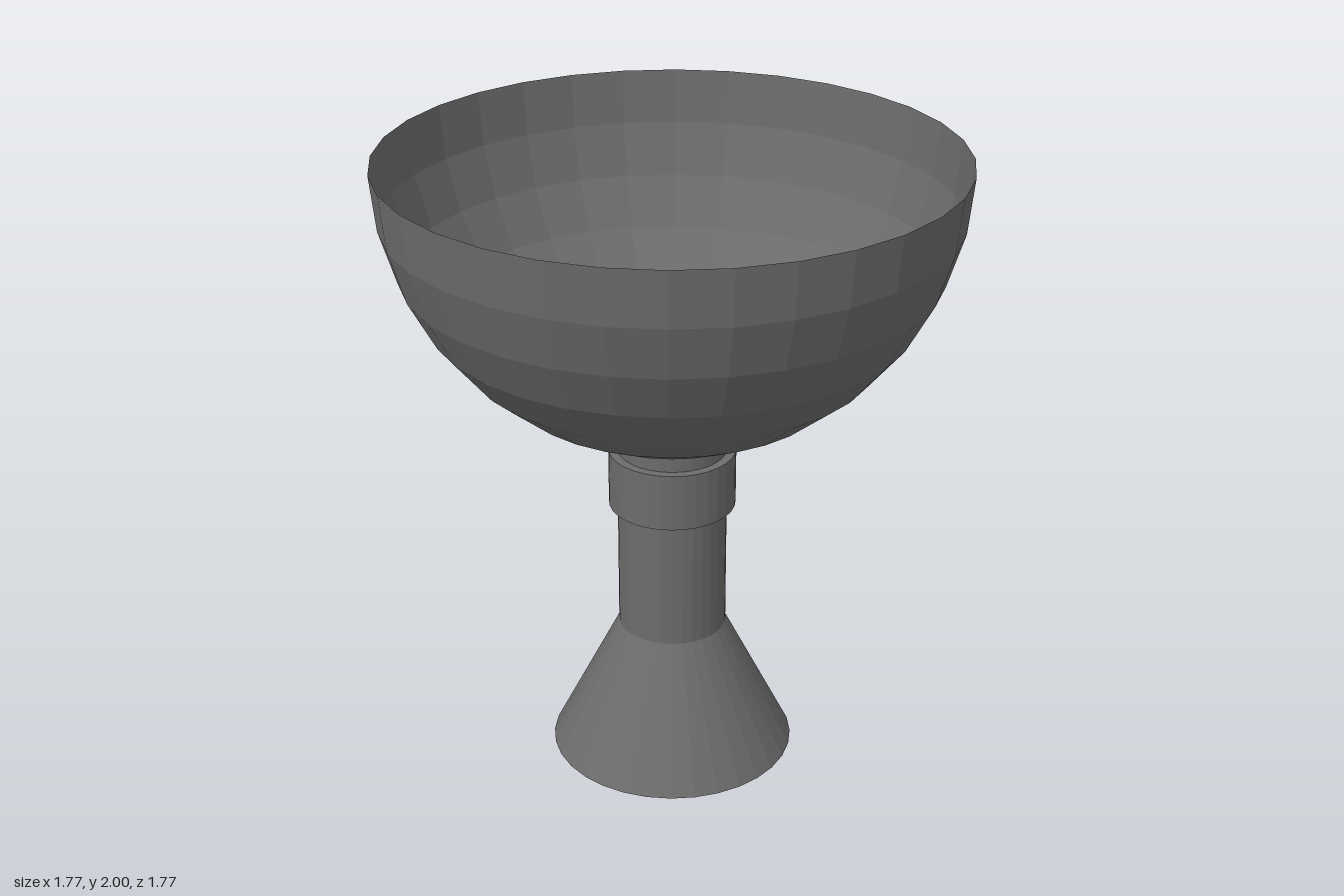
import * as THREE from 'three';

const SIDES = 32;
const BOWL_RADIUS = 0.885;
const STEM_RADIUS = 0.172;

export function createModel() {
  const model = new THREE.Group();
  model.name = 'goblet';
  const solid = new THREE.MeshStandardMaterial({ color: 0x6c6c6c, flatShading: true });
  const thin = solid.clone();
  thin.side = THREE.DoubleSide;

  // Spin a [radius, height] profile, listed from bottom to top
  const turn = (name, profile, material) => {
    const points = profile.map(([r, y]) => new THREE.Vector2(r, y));
    const mesh = new THREE.Mesh(new THREE.LatheGeometry(points, SIDES), material);
    mesh.name = name;
    model.add(mesh);
  };

  // Thin half-sphere bowl with a small flat floor
  const bowl = [];
  for (let i = 1; i <= 8; i++) {
    const a = (i / 16) * Math.PI;
    bowl.push([BOWL_RADIUS * Math.sin(a), 2 - BOWL_RADIUS * Math.cos(a)]);
  }
  const floorY = bowl[0][1];
  turn('bowl', [[0, floorY], ...bowl], thin);

  // Flared foot, closed underneath
  turn('foot', [[0, 0], [0.392, 0], [STEM_RADIUS, 0.44]], solid);

  // Straight stem up to the bowl
  turn('stem', [[STEM_RADIUS, 0.44], [STEM_RADIUS, floorY]], solid);

  // Raised collar around the stem
  turn('collar', [[STEM_RADIUS, 0.867], [0.2, 0.867], [0.2, 1.053], [STEM_RADIUS, 1.053]], solid);

  return model;
}
